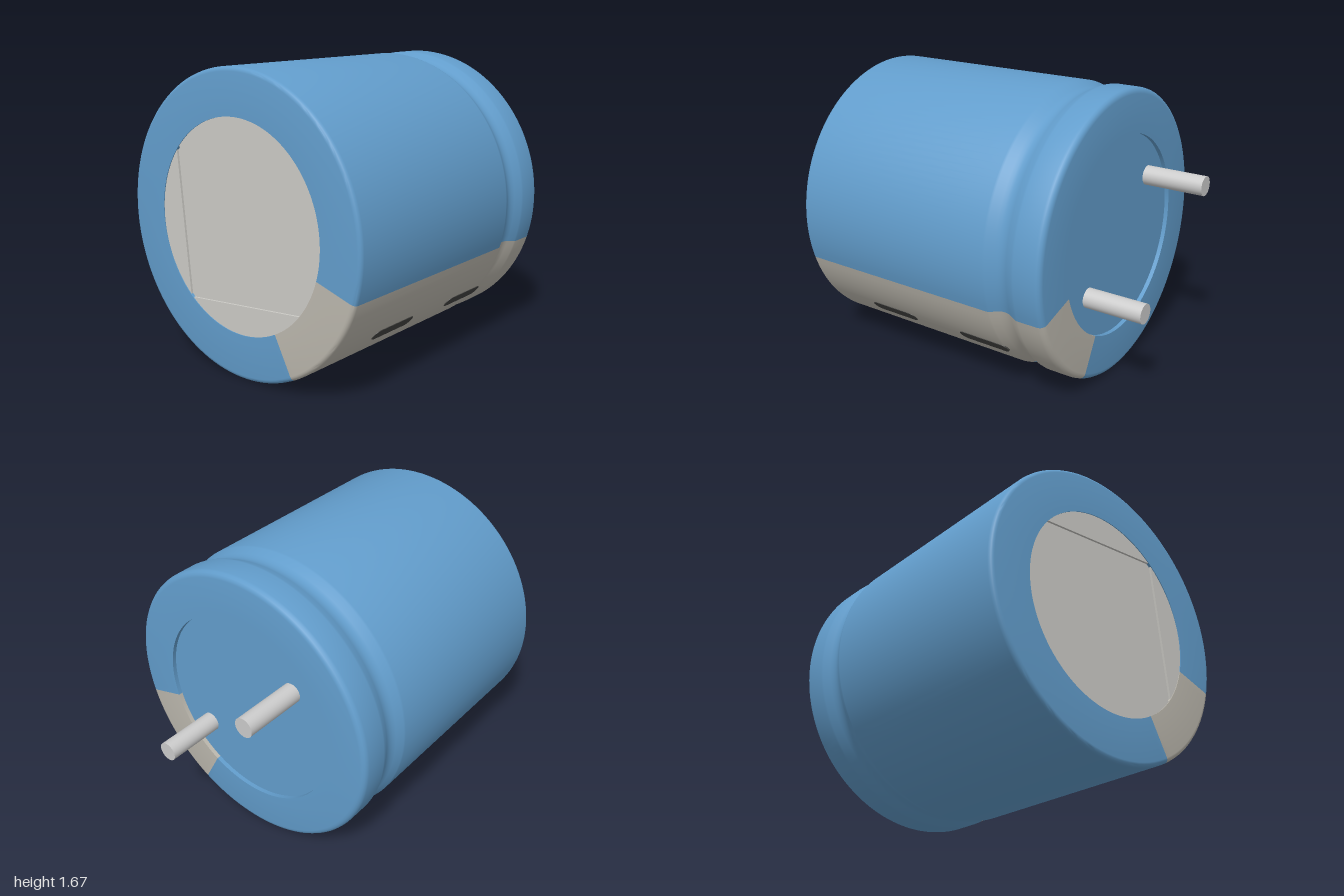
import * as THREE from 'three';
import { toCreasedNormals } from 'three/addons/utils/BufferGeometryUtils.js';

const CY = 0.834, R = 0.833, RF = 0.58, RB = 0.58;
const rad = THREE.MathUtils.degToRad;
const mat = (color) => new THREE.MeshStandardMaterial({ color });

export function createModel() {
  const group = new THREE.Group();
  const blue = mat(0x629dcc), beige = mat(0xbcb8ae), silver = mat(0xcccbc6);
  const dark = mat(0x444442), metal = mat(0xcccccc);

  const add = (name, geo, material, x = 0, y = CY, z = 0) => {
    const mesh = new THREE.Mesh(geo, material);
    mesh.name = name;
    mesh.position.set(x, y, z);
    group.add(mesh);
    return mesh;
  };

  // Can profile as [radius, z], from the rear recess round to the front rim
  const profile = [[RB, -0.62], [RB, -0.66], [R - 0.035, -0.66]];
  const fillet = (cz, r, from) => {
    for (let i = 1; i <= 4; i++) {
      const a = rad(from + i * 22.5);
      profile.push([R - r + r * Math.cos(a), cz + r * Math.sin(a)]);
    }
  };
  fillet(-0.625, 0.035, -90);
  profile.push([R, -0.50], [R - 0.003, -0.485], [0.808, -0.44], [0.801, -0.42], [0.799, -0.40],
    [0.801, -0.38], [0.808, -0.36], [R - 0.003, -0.318], [R, -0.305], [R, 0.975]);
  fillet(0.975, 0.025, 0);
  profile.push([RF, 1], [RF, 0.98]);
  const points = profile.map(([r, z]) => new THREE.Vector2(r, z));

  // Angles are measured in the front view from +x
  const shell = (from, to, segments) => toCreasedNormals(
    new THREE.LatheGeometry(points, segments, rad(90 + from), rad(to - from)).rotateX(Math.PI / 2), 0.62);
  add('sleeve', shell(-17.3, 297.2, 112), blue);
  add('polarityStripe', shell(-62.8, -17.3, 16), beige);

  // Recessed rear seal
  add('rearSeal', new THREE.CircleGeometry(RB, 96).rotateY(Math.PI), blue, 0, CY, -0.635);

  // Front vent: four quarters separated by a shallow scored cross
  add('ventFloor', new THREE.CircleGeometry(RF, 96), silver, 0, CY, 0.984);
  const g = 0.012, a0 = Math.asin(g / RF);
  const quarter = new THREE.Shape();
  quarter.moveTo(g, g);
  quarter.absarc(0, 0, RF, a0, Math.PI / 2 - a0, false);
  quarter.closePath();
  for (let i = 0; i < 4; i++) {
    const geo = new THREE.ExtrudeGeometry(quarter, { depth: 0.012, bevelEnabled: false, curveSegments: 24 });
    add('ventQuarter', geo, silver, 0, CY, 0.984).rotation.z = rad(50 + 90 * i);
  }

  // Dark slots along the middle of the stripe
  const w = 0.039, half = 0.167 - w;
  const slot = new THREE.Shape();
  slot.absarc(half, 0, w, -Math.PI / 2, Math.PI / 2, false);
  slot.absarc(-half, 0, w, Math.PI / 2, Math.PI * 1.5, false);
  const slotGeo = new THREE.ExtrudeGeometry(slot, { depth: 0.008, bevelEnabled: false, curveSegments: 12 });
  slotGeo.rotateY(Math.PI / 2).translate(R - 0.0055, 0, 0);
  for (const z of [0.497, -0.165]) add('stripeMark', slotGeo, dark, 0, CY, z).rotation.z = rad(-40);

  // Leads
  for (const [x, y, end] of [[-0.325, 1.102, -1], [0.315, 0.568, -0.985]]) {
    const length = -0.62 - end;
    add('lead', new THREE.CylinderGeometry(0.057, 0.057, length, 32).rotateX(Math.PI / 2), metal,
      x, y, end + length / 2);
  }
  return group;
}
